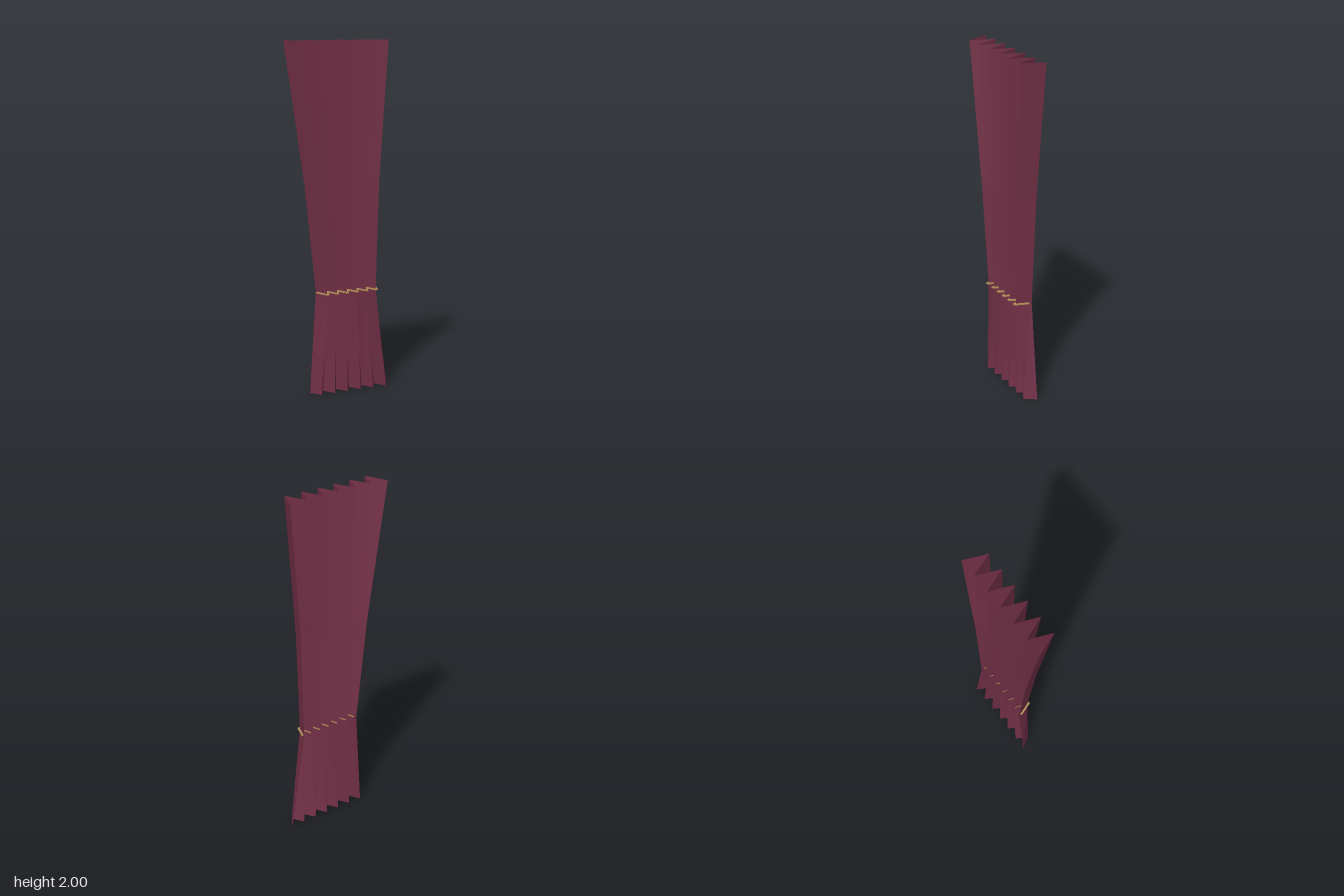
import * as THREE from 'three';

const FOLDS = 12;
// Rows of the cloth: height, left edge, right edge, pleat depth
const ROWS = [
  [2.0, -0.32, 0.315, 0.066],
  [1.2, -0.203, 0.25, 0.053],
  [0.584, -0.14, 0.23, 0.043],
  [0.0, -0.182, 0.315, 0.034],
];

function pleatPoint([y, x0, x1, depth], i) {
  return new THREE.Vector3(x0 + ((x1 - x0) * i) / FOLDS, y, i % 2 ? depth : -depth);
}

// Zigzag sheet, each pleat face with its own corners so the folds stay crisp
function clothGeometry() {
  const pos = [];
  for (let r = 0; r < ROWS.length - 1; r++) {
    for (let i = 0; i < FOLDS; i++) {
      const a = pleatPoint(ROWS[r], i), b = pleatPoint(ROWS[r], i + 1);
      const c = pleatPoint(ROWS[r + 1], i), d = pleatPoint(ROWS[r + 1], i + 1);
      for (const p of [a, c, b, b, c, d]) pos.push(p.x, p.y, p.z);
    }
  }
  const geo = new THREE.BufferGeometry();
  geo.setAttribute('position', new THREE.Float32BufferAttribute(pos, 3));
  geo.computeVertexNormals();
  return geo;
}

export function createModel() {
  const group = new THREE.Group();
  group.name = 'curtain';

  const wine = new THREE.MeshStandardMaterial({ color: 0x722f46, side: THREE.DoubleSide });
  wine.name = 'wine cloth';
  const gold = new THREE.MeshStandardMaterial({ color: 0xb08d57 });
  gold.name = 'gold cord';

  const cloth = new THREE.Mesh(clothGeometry(), wine);
  cloth.name = 'pleatedCloth';
  group.add(cloth);

  // Tieback: one thin bar along each pleat face, set slightly forward
  const tieback = new THREE.Group();
  tieback.name = 'tieback';
  for (let i = 0; i < FOLDS; i++) {
    const a = pleatPoint(ROWS[2], i), b = pleatPoint(ROWS[2], i + 1);
    const bar = new THREE.Mesh(new THREE.BoxGeometry(a.distanceTo(b) - 0.003, 0.007, 0.013), gold);
    bar.name = 'tiebackBar';
    bar.position.addVectors(a, b).multiplyScalar(0.5);
    bar.position.z += 0.013;
    bar.rotation.y = -Math.atan2(b.z - a.z, b.x - a.x);
    tieback.add(bar);
  }
  group.add(tieback);
  return group;
}
